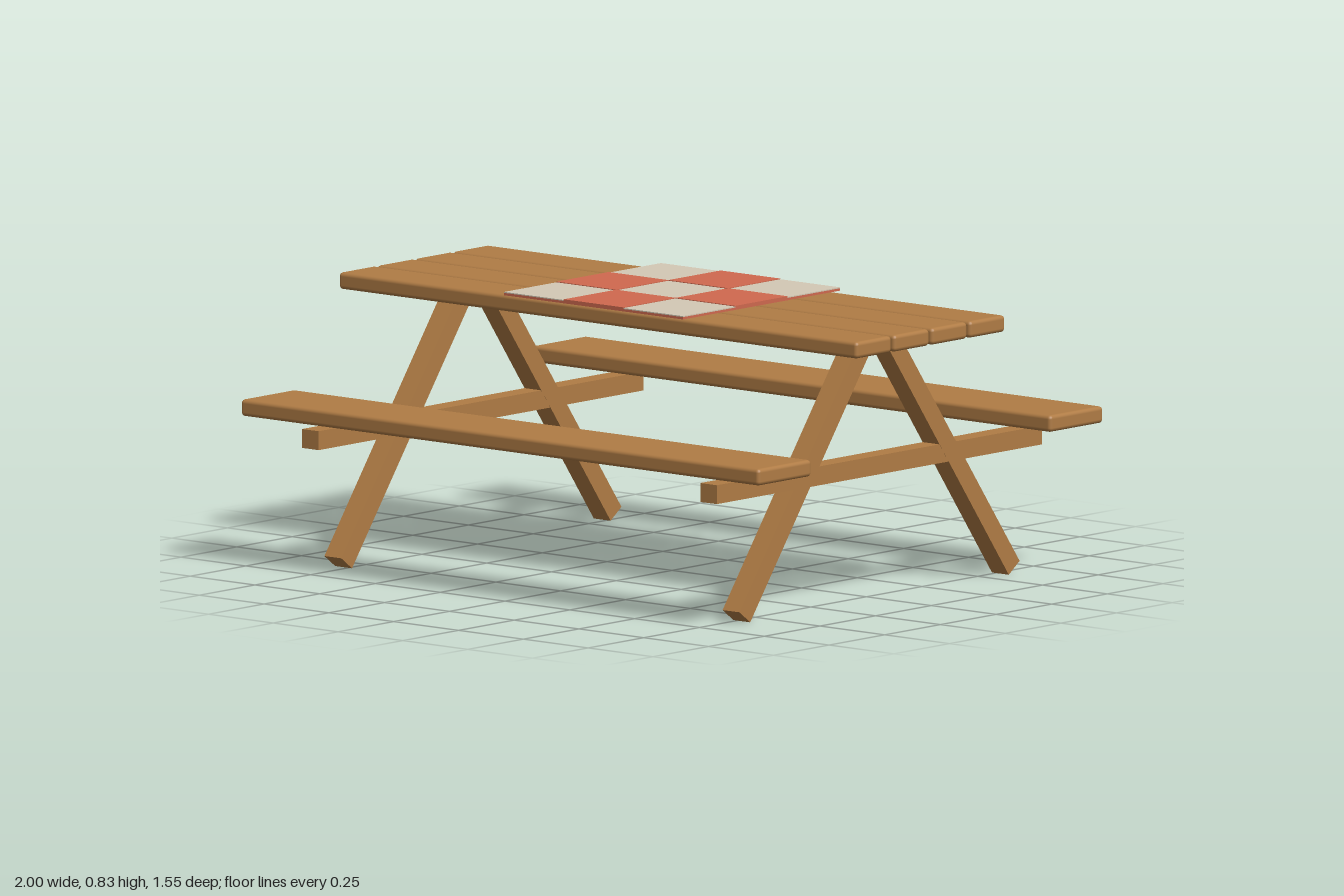
import * as THREE from 'three';
import { RoundedBoxGeometry } from 'three/addons/geometries/RoundedBoxGeometry.js';

export function createModel() {
  const model = new THREE.Group();
  model.name = 'picnicTable';

  const material = (name, color) => {
    const m = new THREE.MeshStandardMaterial({ color });
    m.name = name;
    return m;
  };
  const wood = material('wood', 0xb07c45);
  const cream = material('cream', 0xd4c9b5);
  const red = material('red', 0xd0694f);

  const add = (name, geometry, mat, x, y, z) => {
    const mesh = new THREE.Mesh(geometry, mat);
    mesh.name = name;
    mesh.position.set(x, y, z);
    model.add(mesh);
    return mesh;
  };

  // Table top: four boards with narrow gaps
  const board = new RoundedBoxGeometry(2, 0.05, 0.16, 2, 0.012);
  for (const z of [-0.255, -0.085, 0.085, 0.255]) add('topBoard', board, wood, 0, 0.795, z);

  // Benches, one at the front and one at the back
  const bench = new RoundedBoxGeometry(2, 0.05, 0.24, 2, 0.012);
  for (const s of [-1, 1]) add('bench', bench, wood, 0, 0.472, s * 0.655);

  // End frames: two slanted legs joined by a crossbar
  const foot = { y: 0.0175, z: 0.605 };
  const head = { y: 0.785, z: 0.042 };
  const dy = head.y - foot.y;
  const dz = foot.z - head.z;
  const leg = new THREE.BoxGeometry(0.065, Math.hypot(dy, dz), 0.06);
  const crossbar = new THREE.BoxGeometry(0.064, 0.056, 1.46);
  for (const x of [-0.768, 0.768]) {
    for (const s of [-1, 1]) {
      const mesh = add('leg', leg, wood, x, (foot.y + head.y) / 2, (s * (foot.z + head.z)) / 2);
      mesh.rotation.x = -s * Math.atan2(dz, dy);
    }
    add('crossbar', crossbar, wood, x, 0.396, 0);
  }

  // Cloth: thin red base with a three by three check on top
  add('cloth', new THREE.BoxGeometry(0.69, 0.007, 0.705), red, 0, 0.8255, 0);
  for (let i = -1; i <= 1; i++) {
    for (let j = -1; j <= 1; j++) {
      const isCream = (i + j) % 2 === 0;
      const h = isCream ? 0.003 : 0.005;
      add(isCream ? 'creamCheck' : 'redCheck', new THREE.BoxGeometry(0.23, h, 0.235),
        isCream ? cream : red, i * 0.23, 0.829 + h / 2, j * 0.235);
    }
  }

  return model;
}
